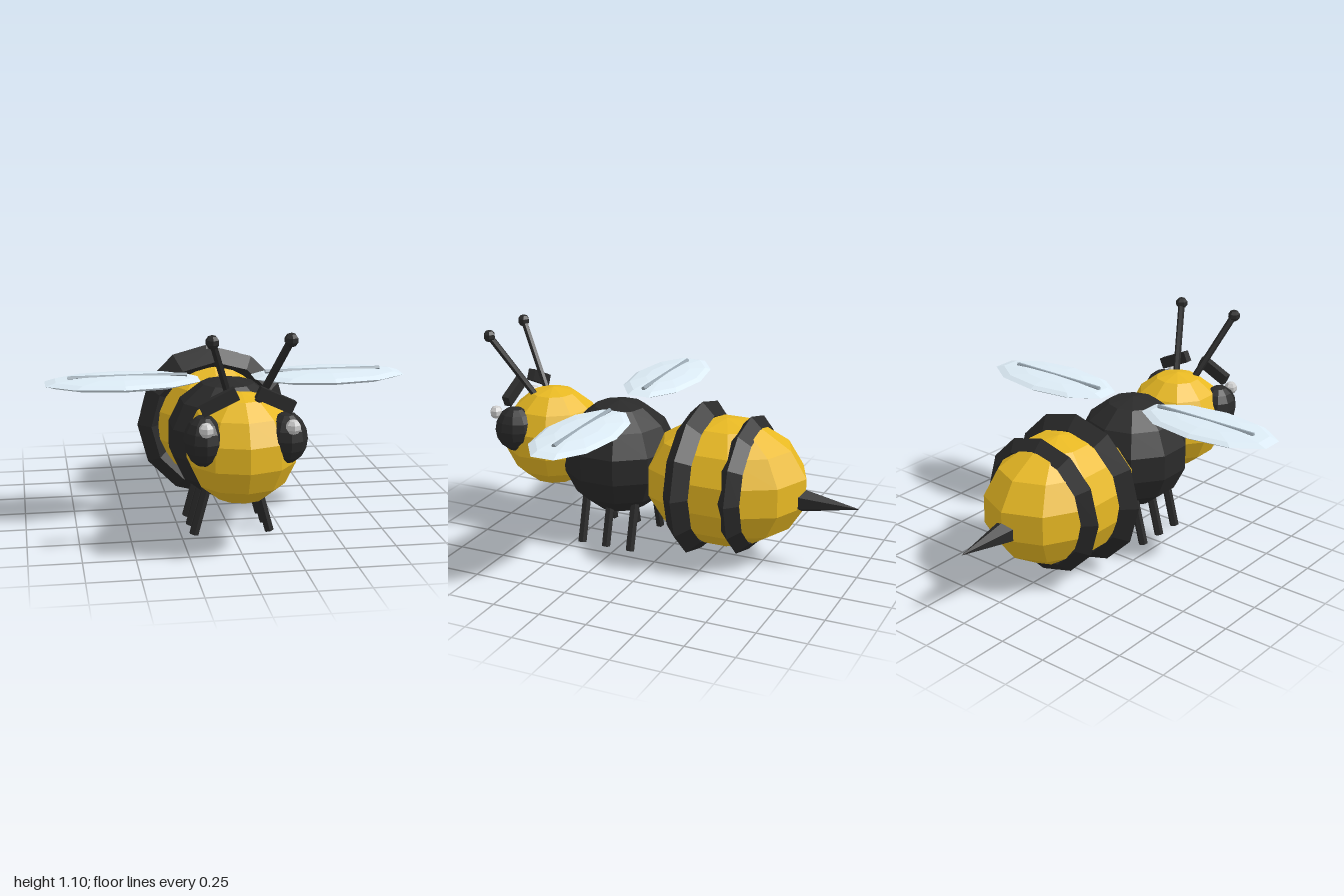
import * as THREE from 'three';

const paint = (color) => new THREE.MeshStandardMaterial({ color, flatShading: true });

export function createModel() {
  const model = new THREE.Group();
  model.name = 'bee';
  const yellow = paint(0xe8b923);
  const black = paint(0x2a2a2a);
  const wingBlue = paint(0xdcebf5);
  const veinGrey = paint(0x9aa8b2);
  const grey = paint(0xcccccc);

  const add = (name, geometry, material, x, y, z) => {
    const mesh = new THREE.Mesh(geometry, material);
    mesh.name = name;
    mesh.position.set(x, y, z);
    model.add(mesh);
    return mesh;
  };

  // Faceted ellipsoid with a column of corners facing front and back
  const blob = (rx, ry, rz, columns = 10, rows = 7) =>
    new THREE.SphereGeometry(1, columns, rows).rotateY(Math.PI / 2).scale(rx, ry, rz);

  // Straight rod between two points
  const rod = (name, from, to, radius, material, sides = 6) => {
    const a = new THREE.Vector3(...from);
    const b = new THREE.Vector3(...to);
    const dir = b.clone().sub(a);
    const mid = a.clone().add(b).multiplyScalar(0.5);
    const mesh = add(name, new THREE.CylinderGeometry(radius, radius, dir.length(), sides),
      material, mid.x, mid.y, mid.z);
    mesh.quaternion.setFromUnitVectors(new THREE.Vector3(0, 1, 0), dir.normalize());
    return mesh;
  };

  // Body
  add('head', blob(0.265, 0.265, 0.265), yellow, 0, 0.515, 0.705);
  add('thorax', blob(0.303, 0.303, 0.303), black, 0, 0.46, 0.31);
  add('abdomen', blob(0.335, 0.335, 0.44), yellow, 0, 0.41, -0.29);

  // Stripes with a diamond cross-section
  add('frontStripe', new THREE.TorusGeometry(0.335, 0.067, 4, 12), black, 0, 0.41, -0.155);
  add('rearStripe', new THREE.TorusGeometry(0.3, 0.06, 4, 12), black, 0, 0.41, -0.42);

  // Stinger
  add('stinger', new THREE.ConeGeometry(0.065, 0.32, 6).rotateX(-Math.PI / 2),
    black, 0, 0.37, -0.84);

  // Paired parts
  for (const [side, s] of [['left', 1], ['right', -1]]) {
    add(side + 'Eye', blob(0.094, 0.12, 0.11, 10, 8), black, s * 0.192, 0.588, 0.83);
    add(side + 'EyeGlint', blob(0.036, 0.036, 0.036, 6, 5), grey, s * 0.197, 0.665, 0.94);

    const brow = add(side + 'Brow', new THREE.BoxGeometry(0.18, 0.06, 0.04),
      black, s * 0.13, 0.775, 0.866);
    brow.rotation.z = -s * 0.44;

    // Antenna with a small knob
    const tip = [s * 0.175, 1.07, 0.975];
    rod(side + 'Antenna', [s * 0.06, 0.74, 0.78], tip, 0.018, black);
    add(side + 'AntennaTip', blob(0.033, 0.033, 0.033, 6, 5), black, ...tip);

    // Wing and its raised vein
    add(side + 'Wing', blob(0.395, 0.03, 0.195, 10, 6), wingBlue, s * 0.51, 0.745, 0.27);
    rod(side + 'WingVein', [s * 0.195, 0.769, 0.27], [s * 0.775, 0.769, 0.27], 0.011, veinGrey);

    // Legs
    [0.45, 0.31, 0.17].forEach((z, i) =>
      rod(side + 'Leg' + (i + 1), [s * 0.12, 0.26, z], [s * 0.188, 0.007, z], 0.024, black));
  }

  return model;
}
